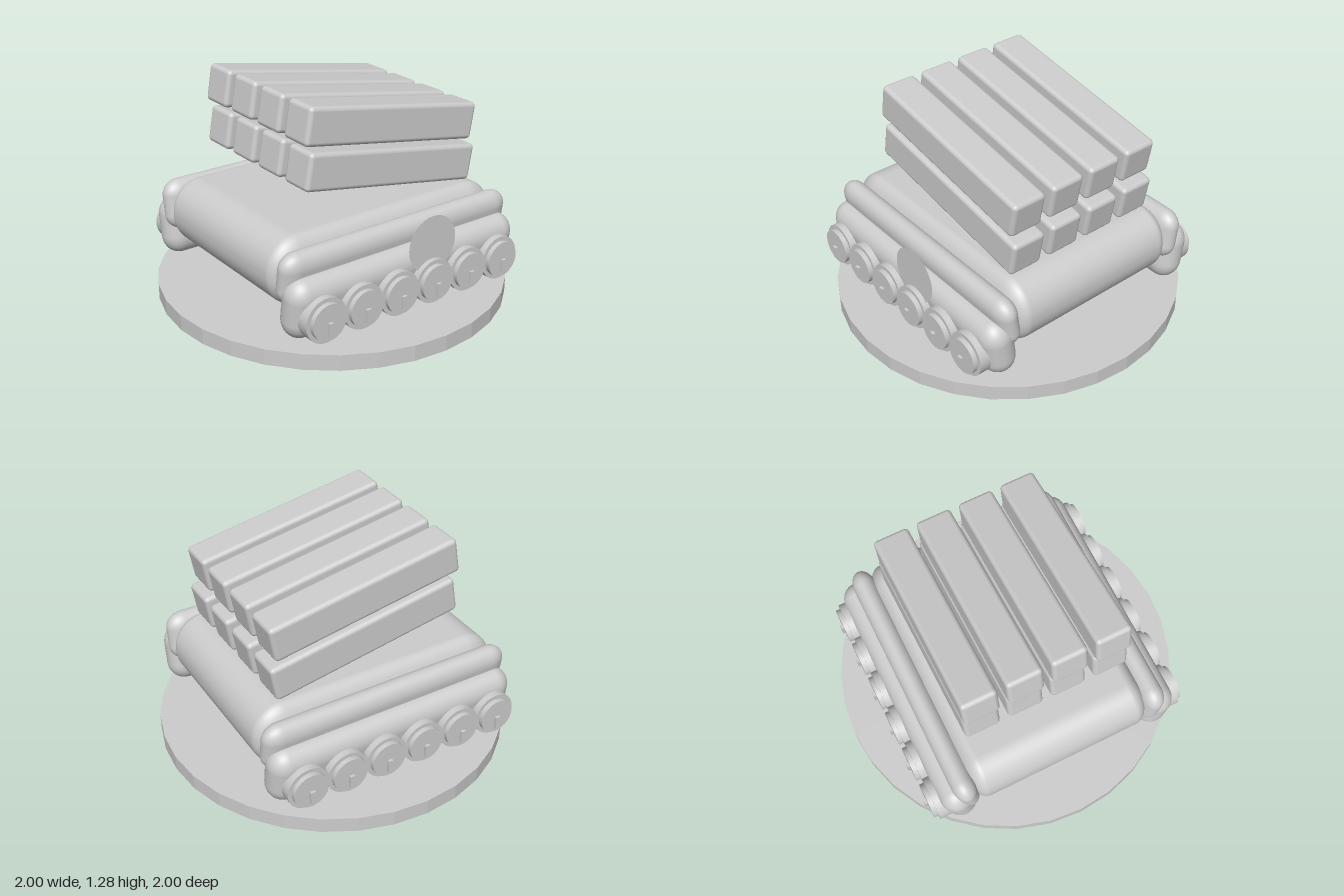
import * as THREE from 'three';
import { RoundedBoxGeometry } from 'three/addons/geometries/RoundedBoxGeometry.js';

// Box with separate rounding radii along x, y and z
function roundBox(w, h, d, rx, ry, rz, segments = 6) {
  return new RoundedBoxGeometry(w / rx, h / ry, d / rz, segments, 1).scale(rx, ry, rz);
}

export function createModel() {
  const model = new THREE.Group();
  model.name = 'trackedLauncher';

  const grey = new THREE.MeshStandardMaterial({ color: 0xcccccc });
  grey.name = 'lightGrey';
  // Same colour with faceted shading for the base plate
  const flatGrey = new THREE.MeshStandardMaterial({ color: 0xcccccc, flatShading: true });
  flatGrey.name = 'facetedLightGrey';

  function add(name, geometry, x, y, z, material = grey, parent = model) {
    const mesh = new THREE.Mesh(geometry, material);
    mesh.name = name;
    mesh.position.set(x, y, z);
    parent.add(mesh);
    return mesh;
  }

  // Round base plate
  add('base', new THREE.CylinderGeometry(1, 1, 0.09, 32), 0, 0.045, 0, flatGrey);

  // Hull with strongly rounded front and back
  add('hull', roundBox(1.12, 0.39, 1.51, 0.1, 0.19, 0.18, 8), 0, 0.435, 0);

  // Launch tubes: two tilted rows of four
  const tubeGeometry = roundBox(0.205, 0.208, 1.13, 0.025, 0.025, 0.025, 3);
  for (const y of [0.839, 1.081]) {
    for (let i = 0; i < 4; i++) {
      const tube = add('launchTube', tubeGeometry, (i - 1.5) * 0.253, y, -0.062);
      tube.rotation.x = -THREE.MathUtils.degToRad(10);
    }
  }

  // Side rails and wheels
  const upperRail = roundBox(0.135, 0.295, 1.51, 0.067, 0.09, 0.1);
  const lowerRail = roundBox(0.19, 0.345, 1.51, 0.094, 0.11, 0.1);
  const wheelBody = new THREE.CylinderGeometry(0.125, 0.125, 0.165, 32).rotateZ(Math.PI / 2);
  const wheelCap = new THREE.CylinderGeometry(0.102, 0.102, 0.06, 32).rotateZ(Math.PI / 2);
  const wheelKey = new THREE.BoxGeometry(0.04, 0.075, 0.028);

  for (const side of [-1, 1]) {
    const prefix = side > 0 ? 'left' : 'right';
    const tilt = -side * THREE.MathUtils.degToRad(8);
    add(prefix + 'UpperRail', upperRail, side * 0.578, 0.453, 0).rotation.z = tilt;
    add(prefix + 'LowerRail', lowerRail, side * 0.627, 0.307, 0).rotation.z = tilt;

    for (let i = 0; i < 6; i++) {
      const wheel = new THREE.Group();
      wheel.name = prefix + 'Wheel';
      wheel.position.set(0, 0.271, 0.595 - i * 0.236);
      model.add(wheel);
      add('wheelBody', wheelBody, side * 0.685, 0, 0, grey, wheel);
      add('wheelCap', wheelCap, side * 0.765, 0, 0, grey, wheel);
      add('wheelKey', wheelKey, side * 0.791, -0.035, 0, grey, wheel);
    }
  }

  // Flat round side plate, on one side only
  add('sideDisc', new THREE.CircleGeometry(0.16, 32).rotateY(Math.PI / 2), 0.74, 0.48, -0.113);

  return model;
}
